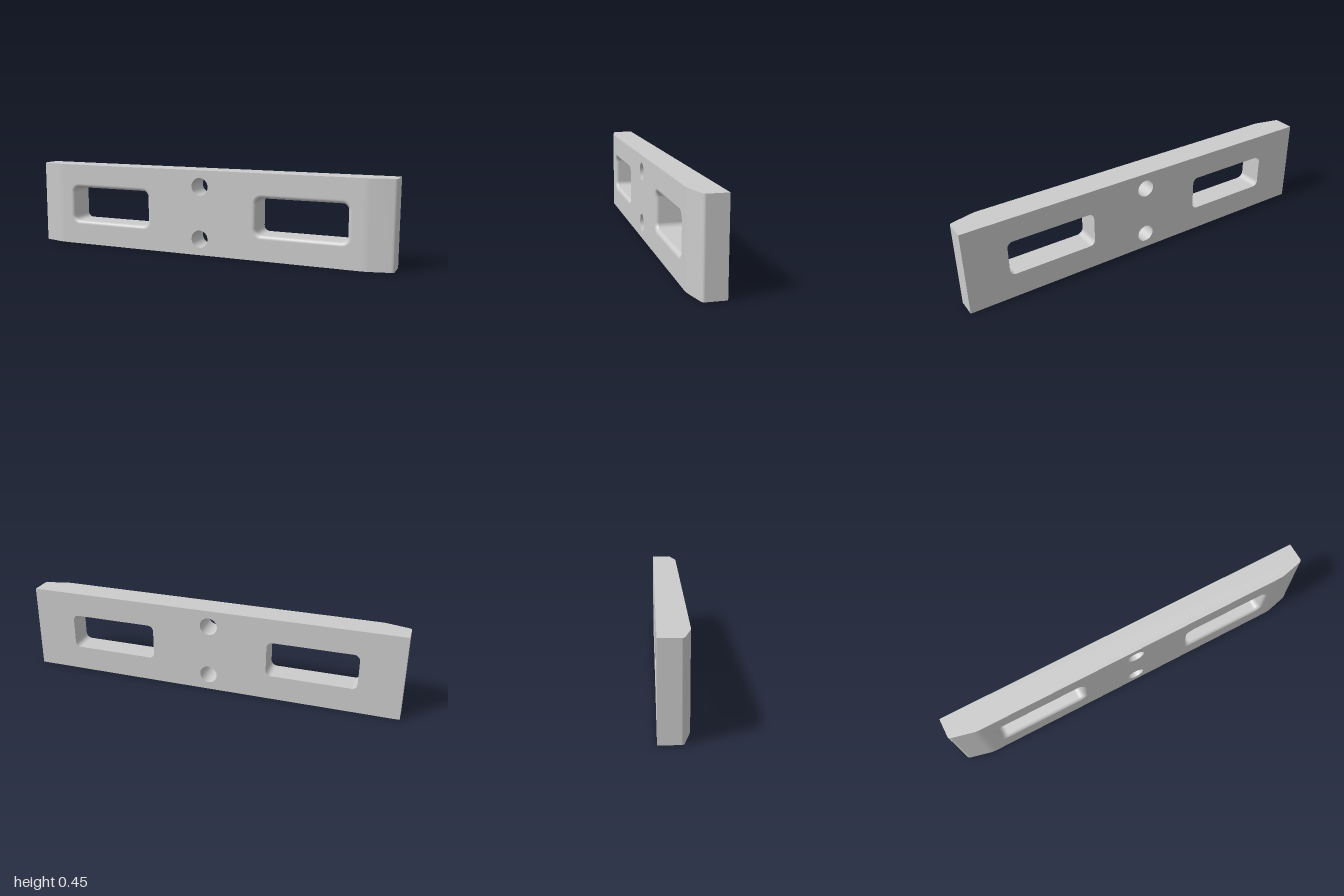
import * as THREE from 'three';

const H = 0.448, D = 0.071, FLAT = 0.845;
const material = new THREE.MeshStandardMaterial({ color: 0xcccccc });

// Smooth skin between equal-length rows of [x, y, z] points
function loft(rows, closed) {
  const n = rows[0].length, index = [];
  for (let i = 0; i < rows.length - 1; i++) {
    for (let j = 0; j < (closed ? n : n - 1); j++) {
      const k = (j + 1) % n;
      const a = i * n + j, b = i * n + k, c = b + n, d = a + n;
      index.push(a, d, c, a, c, b);
    }
  }
  const g = new THREE.BufferGeometry();
  g.setAttribute('position', new THREE.Float32BufferAttribute(rows.flat(2), 3));
  g.setIndex(index);
  g.computeVertexNormals();
  return g;
}

// Counter-clockwise outline of a rounded rectangle grown by `grow`
function roundedOutline({ x, y, hw, hh, r }, grow) {
  const pts = [], steps = 10;
  const signs = [[1, 1], [-1, 1], [-1, -1], [1, -1]];
  signs.forEach(([sx, sy], q) => {
    // full circles share their quarter points, so skip the last one
    const last = hw === r ? steps - 1 : steps;
    for (let i = 0; i <= last; i++) {
      const a = (q + i / steps) * Math.PI / 2;
      pts.push(new THREE.Vector2(
        x + sx * (hw - r) + (r + grow) * Math.cos(a),
        y + sy * (hh - r) + (r + grow) * Math.sin(a)));
    }
  });
  return pts;
}

export function createModel() {
  const group = new THREE.Group();
  const add = (name, geometry) => {
    const mesh = new THREE.Mesh(geometry, material);
    mesh.name = name;
    group.add(mesh);
  };

  const openings = [];
  for (const s of [-1, 1]) {
    openings.push({ name: 'window', x: s * 0.545, y: H / 2 + 0.002, hw: 0.235, hh: 0.094, r: 0.03, fillet: 0.02 });
    openings.push({ name: 'boltHole', x: 0, y: H / 2 + s * 0.138, hw: 0.046, hh: 0.046, r: 0.046, fillet: 0 });
  }

  // Flat front and back faces, pierced by the openings
  const face = (halfWidth, filleted) => {
    const shape = new THREE.Shape([[-1, 0], [1, 0], [1, H], [-1, H]]
      .map(([x, y]) => new THREE.Vector2(x * halfWidth, y)));
    shape.holes = openings.map(o => new THREE.Path(roundedOutline(o, filleted ? o.fillet : 0)));
    return new THREE.ShapeGeometry(shape);
  };
  add('frontFace', face(FLAT, true).translate(0, 0, D));
  add('backFace', face(1, false).rotateY(Math.PI).translate(0, 0, -D));

  // Inner walls of the openings, with rounded front rims on the windows
  for (const o of openings) {
    const row = (grow, z) => roundedOutline(o, grow).map(p => [p.x, p.y, z]);
    const rows = [row(0, -D)];
    const steps = o.fillet ? 8 : 0;
    for (let i = 0; i <= steps; i++) {
      const a = steps ? (i / steps) * Math.PI / 2 : 0;
      rows.push(row(o.fillet * (1 - Math.cos(a)), D - o.fillet * (1 - Math.sin(a))));
    }
    add(o.name + 'Wall', loft(rows, true));
  }

  // End profile in x/z, from the back corner round the bevel to the front face
  const path = new THREE.Path();
  path.moveTo(1, -D);
  path.lineTo(1, 0.027);
  path.quadraticCurveTo(1, 0.038, 0.985, 0.042);
  path.lineTo(0.885, 0.0665);
  path.quadraticCurveTo(0.867, D, FLAT, D);
  const right = path.getPoints(8);
  const left = right.map(p => new THREE.Vector2(-p.x, p.y)).reverse();

  // Bevelled ends
  const wall = pts => loft([0, H].map(y => pts.map(p => [p.x, y, p.y])), false);
  add('leftEnd', wall(right));
  add('rightEnd', wall(left));

  // Top and bottom edges
  const bottom = new THREE.ShapeGeometry(new THREE.Shape([...right, ...left])).rotateX(Math.PI / 2);
  add('bottomEdge', bottom);
  add('topEdge', bottom.clone().rotateZ(Math.PI).translate(0, H, 0));

  return group;
}
